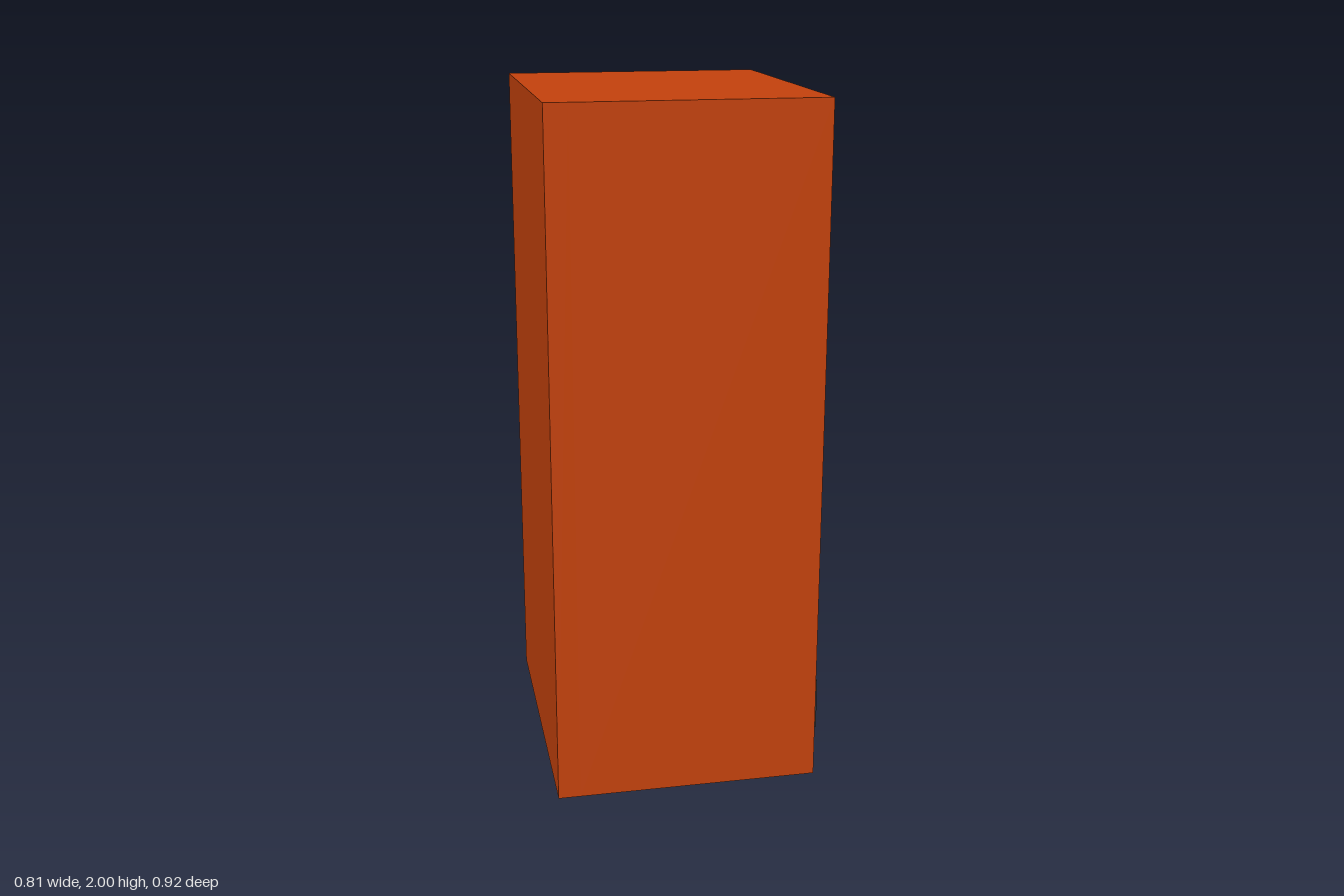
import * as THREE from 'three';

const orange = new THREE.MeshStandardMaterial({ color: 0xc2410c });
const dark = new THREE.MeshStandardMaterial({ color: 0x333333 });
const grey = new THREE.MeshStandardMaterial({ color: 0x909090 });

// Rectangles are [zMin, zMax, yMin, yMax]; the machine's glass side faces +x.
const corners = ([z0, z1, y0, y1]) => [
  new THREE.Vector2(-z1, y0), new THREE.Vector2(-z0, y0),
  new THREE.Vector2(-z0, y1), new THREE.Vector2(-z1, y1),
];

function add(group, name, geometry, material) {
  const mesh = new THREE.Mesh(geometry, material);
  mesh.name = name;
  group.add(mesh);
}

// Solid block from x0 to x1
function block(group, name, material, [z0, z1, y0, y1], x0, x1) {
  const g = new THREE.BoxGeometry(x1 - x0, y1 - y0, z1 - z0);
  g.translate((x0 + x1) / 2, (y0 + y1) / 2, (z0 + z1) / 2);
  add(group, name, g, material);
}

// Block with a rectangular opening running through it along x
function frame(group, name, material, outer, inner, x0, x1) {
  const shape = new THREE.Shape(corners(outer));
  shape.holes.push(new THREE.Path(corners(inner).reverse()));
  const g = new THREE.ExtrudeGeometry(shape, { depth: x1 - x0, bevelEnabled: false });
  g.rotateY(Math.PI / 2);
  g.translate(x0, 0, 0);
  add(group, name, g, material);
}

export function createModel() {
  const model = new THREE.Group();
  model.name = 'vendingMachine';

  const side = [-0.46, 0.46, 0, 2];
  const opening = [-0.27, 0.387, 0.32, 1.812];
  const doorEdge = [-0.24, 0.357, 0.35, 1.782];
  const glass = [-0.21, 0.33, 0.378, 1.755];

  // Cabinet with its window opening
  frame(model, 'cabinet', orange, side, opening, -0.34, 0.365);
  block(model, 'cabinetBack', orange, side, -0.405, -0.34);

  // Window trim: grey seal at the bottom of the groove, door frame in front
  frame(model, 'windowSeal', grey, opening, glass, 0.3, 0.315);
  frame(model, 'doorFrame', orange, doorEdge, glass, 0.315, 0.352);

  // Dark interior
  frame(model, 'interiorWalls', dark, opening, glass, -0.32, 0.3);
  block(model, 'interiorBack', dark, opening, -0.34, -0.32);

  // Shelves
  for (const y of [0.735, 1.272]) {
    block(model, 'shelf', grey, [-0.21, 0.33, y, y + 0.065], -0.32, 0.21);
  }

  // Payment panel with sunken display
  const panel = [-0.43, -0.295, 1.302, 1.537];
  block(model, 'paymentPanel', dark, panel, 0.365, 0.376);
  frame(model, 'paymentPanelFace', dark, panel, [-0.413, -0.312, 1.455, 1.505], 0.376, 0.386);

  // Dispensing tray
  block(model, 'dispensingTray', dark, [-0.348, 0.348, 0.09, 0.248], 0.365, 0.403);

  return model;
}
